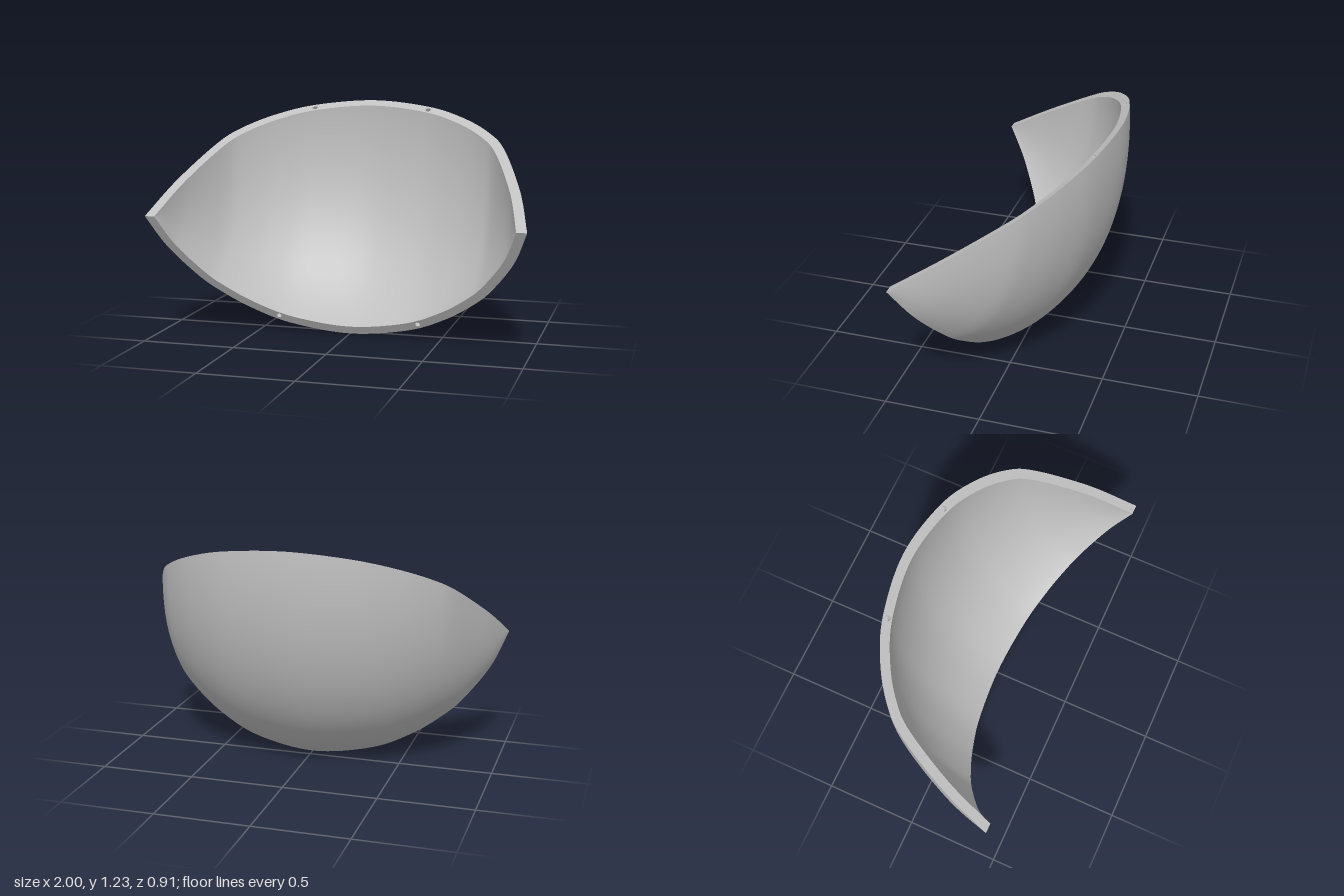
import * as THREE from 'three';

const HINGE = new THREE.Vector3(0, 0.66, 0.455); // line through both side corners
const WALL = 0.052;
const NX = 96, NT = 48;
const HOLE_R = 0.014, HOLE_DEPTH = 0.025;

// Centre profile (z, y) from the upper rim to the lower rim
const profile = new THREE.CubicBezierCurve(
  new THREE.Vector2(-0.452, 1.226), new THREE.Vector2(-0.495, 0.75),
  new THREE.Vector2(-0.36, 0.22), new THREE.Vector2(0.05, 0));

// Rim outline as (half width, fraction of depth), mirrored across x = 0
function rimCurve(half) {
  const right = half.map(([x, f]) => new THREE.Vector3(x, f, 0));
  const left = right.slice(0, -1).map(p => new THREE.Vector3(-p.x, p.y, 0));
  return new THREE.CatmullRomCurve3([...left, ...right.reverse()], false, 'catmullrom', 0.5);
}
const upper = rimCurve([[1, 0], [0.925, 0.29], [0.8, 0.6], [0.7, 0.735], [0.54, 0.856], [0.326, 0.95], [0, 1]]);
const lower = rimCurve([[1, 0], [0.925, 0.26], [0.8, 0.51], [0.7, 0.647], [0.54, 0.802], [0.326, 0.932], [0, 1]]);

// Section at t (0 upper rim, 1 lower rim): direction from the hinge line and its reach
function section(t) {
  const q = profile.getPoint(t);
  const dir = new THREE.Vector3(0, q.y - HINGE.y, q.x - HINGE.z);
  const reach = dir.length();
  return { dir: dir.normalize(), reach };
}

// Point (x, distance from the hinge line) on the outer or inner skin
function skinPoint(s, t, reach, inner) {
  const p = upper.getPoint(s).lerp(lower.getPoint(s), t);
  return inner
    ? new THREE.Vector2(p.x * 0.947, p.y * (reach - WALL))
    : new THREE.Vector2(p.x, p.y * reach);
}

// Curved skin lofted through the sections
function skin(inner) {
  const pos = [], index = [];
  for (let j = 0; j <= NT; j++) {
    const t = j / NT, { dir, reach } = section(t);
    for (let i = 0; i <= NX; i++) {
      const p = skinPoint(i / NX, t, reach, inner);
      pos.push(p.x, HINGE.y + dir.y * p.y, HINGE.z + dir.z * p.y);
      if (i < NX && j < NT) {
        const a = j * (NX + 1) + i, b = a + 1, c = a + NX + 1, d = c + 1;
        if (inner) index.push(a, c, b, b, c, d);
        else index.push(a, b, c, b, d, c);
      }
    }
  }
  const g = new THREE.BufferGeometry();
  g.setAttribute('position', new THREE.Float32BufferAttribute(pos, 3));
  g.setIndex(index);
  g.computeVertexNormals();
  return g;
}

// Flat rim with two blind pin holes, drawn in the plane of its section
function rim(t, side, holeX, name, material) {
  const { dir, reach } = section(t);
  const outer = [], inner = [];
  for (let i = 0; i <= NX; i++) {
    outer.push(skinPoint(i / NX, t, reach, false));
    inner.push(skinPoint(i / NX, t, reach, true));
  }
  const nearest = list => list.reduce((a, b) => Math.abs(b.x - holeX) < Math.abs(a.x - holeX) ? b : a).y;
  const holeY = (nearest(outer) + nearest(inner)) / 2;

  const shape = new THREE.Shape([...outer, ...inner.reverse()]);
  const group = new THREE.Group();
  group.name = name;
  for (const x of [-holeX, holeX]) {
    const hole = new THREE.Path();
    hole.absarc(x, holeY, HOLE_R, 0, Math.PI * 2, true);
    shape.holes.push(hole);

    const wall = new THREE.Mesh(
      new THREE.CylinderGeometry(HOLE_R, HOLE_R, HOLE_DEPTH, 24, 1, true).rotateX(Math.PI / 2), material);
    wall.position.set(x, holeY, -HOLE_DEPTH / 2);
    wall.name = 'pinHoleWall';
    const floor = new THREE.Mesh(new THREE.CircleGeometry(HOLE_R, 24), material);
    floor.position.set(x, holeY, -HOLE_DEPTH);
    floor.name = 'pinHoleFloor';
    group.add(wall, floor);
  }
  const face = new THREE.Mesh(new THREE.ShapeGeometry(shape, 12), material);
  face.name = name + 'Face';
  group.add(face);

  const across = new THREE.Vector3(side, 0, 0);
  const basis = new THREE.Matrix4().makeBasis(across, dir, across.clone().cross(dir));
  group.quaternion.setFromRotationMatrix(basis);
  group.position.copy(HINGE);
  return group;
}

export function createModel() {
  const grey = new THREE.MeshStandardMaterial({ color: 0xbfbfbf, side: THREE.DoubleSide });
  grey.name = 'light grey';

  const model = new THREE.Group();
  model.name = 'shellSegment';
  const outerShell = new THREE.Mesh(skin(false), grey);
  outerShell.name = 'outerShell';
  const innerShell = new THREE.Mesh(skin(true), grey);
  innerShell.name = 'innerShell';
  model.add(outerShell, innerShell);
  model.add(rim(0, 1, 0.326, 'upperRim', grey));
  model.add(rim(1, -1, 0.385, 'lowerRim', grey));
  return model;
}
